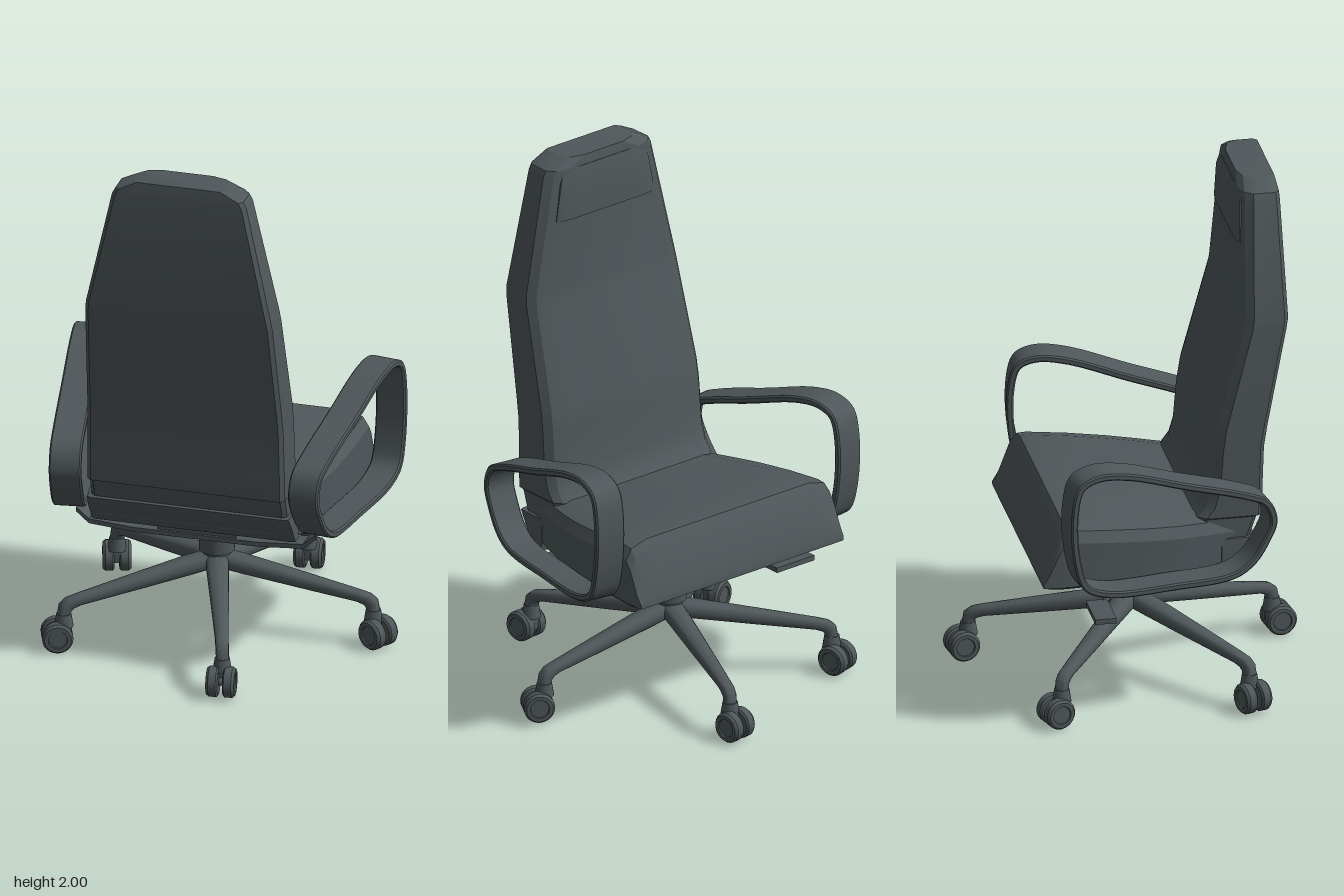
import * as THREE from 'three';
import { toCreasedNormals } from 'three/addons/utils/BufferGeometryUtils.js';

const grey = new THREE.MeshStandardMaterial({ color: 0x4f575a });
grey.name = 'charcoal grey';

function add(parent, name, geometry, x = 0, y = 0, z = 0) {
  const mesh = new THREE.Mesh(geometry, grey);
  mesh.name = name;
  mesh.position.set(x, y, z);
  parent.add(mesh);
  return mesh;
}

// Skin a list of equal-sized rings of [x, y, z] points and cap both ends.
function loft(rings, crease = 0.5) {
  const n = rings[0].length, tris = [];
  const P = (r, i) => rings[r][i % n];
  for (let r = 0; r < rings.length - 1; r++)
    for (let i = 0; i < n; i++) {
      tris.push([P(r, i), P(r, i + 1), P(r + 1, i + 1)], [P(r, i), P(r + 1, i + 1), P(r + 1, i)]);
    }
  const last = rings.length - 1;
  for (let i = 1; i < n - 1; i++)
    tris.push([P(0, 0), P(0, i + 1), P(0, i)], [P(last, 0), P(last, i), P(last, i + 1)]);
  // Turn the faces outwards, whichever way the rings run
  let volume = 0;
  for (const [a, b, c] of tris)
    volume += a[0] * (b[1] * c[2] - b[2] * c[1]) + a[1] * (b[2] * c[0] - b[0] * c[2]) + a[2] * (b[0] * c[1] - b[1] * c[0]);
  if (volume < 0) tris.forEach(t => t.reverse());
  const g = new THREE.BufferGeometry();
  g.setAttribute('position', new THREE.Float32BufferAttribute(tris.flat(2), 3));
  return toCreasedNormals(g, crease);
}

// Half outline mirrored across x
const mirrored = half => [...half, ...half.slice().reverse().map(([x, y, z]) => [-x, y, z])];

// Upright cushion: rows of [y, front z, back z, half width], softened front edges
const upright = (rows, soft = 1) => loft(rows.map(([y, f, b, w]) => mirrored([
  [w - 0.015, y, b], [w, y, b - 0.015 * soft], [w, y, f + 0.045 * soft],
  [w - 0.025, y, f + 0.016 * soft], [w - 0.08, y, f],
])));

// Seat cushion: rows of [z, bottom y, top y, half width], softened top edges
const cushion = rows => loft(rows.map(([z, b, t, w]) => {
  const s = Math.min(1, (t - b) / 0.15);
  return mirrored([[w - 0.01, b, z], [w, b + 0.01 * s, z], [w, t - 0.06 * s, z],
    [w - 0.025, t - 0.02 * s, z], [w - 0.1, t, z]]);
}));

// Closed band armrest, drawn in side profile and extruded across its width
function armGeometry() {
  const path = new THREE.CatmullRomCurve3([
    [0.45, 0.76], [0.42, 0.845], [0.33, 0.89], [0.1, 0.962], [-0.13, 1.035], [-0.25, 1.045], [-0.325, 1.01],
    [-0.355, 0.9], [-0.345, 0.7], [-0.305, 0.59], [-0.21, 0.547], [0.05, 0.54], [0.28, 0.55], [0.36, 0.595], [0.42, 0.68],
  ].map(([z, y]) => new THREE.Vector3(z, y, 0)), true);
  const outer = [], inner = [];
  for (let i = 0; i < 72; i++) {
    const p = path.getPoint(i / 72), t = path.getTangent(i / 72);
    outer.push(new THREE.Vector2(p.x, p.y));
    inner.push(new THREE.Vector2(p.x - t.y * 0.027, p.y + t.x * 0.027));
  }
  const shape = new THREE.Shape(outer);
  shape.holes.push(new THREE.Path(inner));
  const g = new THREE.ExtrudeGeometry(shape, {
    depth: 0.108, bevelThickness: 0.006, bevelSize: 0.006, bevelOffset: -0.006, bevelSegments: 1,
  });
  g.translate(-0.045, 0, -0.054).rotateY(-Math.PI / 2);
  return toCreasedNormals(g, 0.6);
}

// Flat bar following [x, y] points, extruded along z
function bar(points, thick, depth) {
  const s = new THREE.Shape([...points, ...points.slice().reverse().map(([x, y]) => [x, y + thick])]
    .map(([x, y]) => new THREE.Vector2(x, y)));
  return new THREE.ExtrudeGeometry(s, { depth, bevelEnabled: false }).translate(0, 0, -depth / 2);
}

// Twin-wheel caster; local +x is its rolling direction
function caster() {
  const g = new THREE.Group();
  g.name = 'caster';
  for (const side of [-1, 1]) {
    const profile = [[0, -0.022], [0.05, -0.022], [0.058, -0.016], [0.058, 0.012], [0.05, 0.022], [0.036, 0.022], [0.034, 0.017], [0, 0.017]];
    const wheel = new THREE.LatheGeometry(profile.map(p => new THREE.Vector2(...p)), 24);
    add(g, 'wheel', toCreasedNormals(wheel.rotateX(side * Math.PI / 2), 0.5), 0.025, 0.06, side * 0.031);
  }
  add(g, 'axle', new THREE.CylinderGeometry(0.015, 0.015, 0.04, 12).rotateX(Math.PI / 2), 0.025, 0.06, 0);
  add(g, 'casterBody', new THREE.BoxGeometry(0.05, 0.07, 0.03), 0, 0.085, 0);
  add(g, 'casterCollar', new THREE.CylinderGeometry(0.028, 0.036, 0.05, 16), 0, 0.12, 0);
  return g;
}

export function createModel() {
  const model = new THREE.Group();
  model.name = 'officeChair';
  const chair = new THREE.Group();
  chair.name = 'chair';
  chair.position.x = -0.035;
  model.add(chair);

  // Upholstery
  add(chair, 'backrest', upright([
    [0.56, 0.17, 0.32, 0.375], [0.64, 0.17, 0.375, 0.375], [0.725, 0.17, 0.405, 0.374], [0.73, 0.17, 0.422, 0.378],
    [0.77, 0.2, 0.425, 0.378], [0.84, 0.22, 0.426, 0.377], [1.0, 0.233, 0.432, 0.375], [1.08, 0.245, 0.445, 0.373],
    [1.46, 0.345, 0.52, 0.359], [1.5, 0.352, 0.527, 0.354], [1.94, 0.37, 0.515, 0.258], [1.965, 0.37, 0.514, 0.245], [2.0, 0.378, 0.51, 0.175],
  ]));
  add(chair, 'headPad', upright([
    [1.77, 0.353, 0.39, 0.235], [1.91, 0.356, 0.39, 0.21], [1.965, 0.368, 0.39, 0.19],
  ], 0.3));
  add(chair, 'lowerBackPanel', upright([
    [0.525, 0.25, 0.315, 0.39], [0.6, 0.25, 0.365, 0.39], [0.648, 0.25, 0.396, 0.386],
  ], 0.4));
  add(chair, 'seat', cushion([
    [0.34, 0.56, 0.73, 0.37], [0.22, 0.54, 0.735, 0.4], [0.1, 0.54, 0.745, 0.435], [0, 0.54, 0.755, 0.457],
    [-0.15, 0.54, 0.77, 0.477], [-0.3, 0.54, 0.783, 0.487], [-0.335, 0.54, 0.78, 0.488], [-0.36, 0.54, 0.745, 0.488],
    [-0.4, 0.545, 0.63, 0.488], [-0.42, 0.55, 0.575, 0.486],
  ]));

  // Armrests
  const arm = armGeometry();
  for (const side of [-1, 1])
    add(chair, side > 0 ? 'leftArmrest' : 'rightArmrest', arm, side * 0.515, 0, 0.045).rotation.y = -side * 0.148;

  // Mechanism under the seat
  add(chair, 'armBracket', bar([[-0.46, 0.53], [-0.41, 0.487], [-0.24, 0.474], [0.24, 0.474], [0.41, 0.487], [0.46, 0.53]], 0.018, 0.08), 0, 0, 0.24);
  add(chair, 'bracketMount', new THREE.BoxGeometry(0.3, 0.06, 0.06), 0, 0.515, 0.24);
  add(chair, 'seatPlate', new THREE.BoxGeometry(0.4, 0.012, 0.4), 0, 0.536, 0.03);
  add(chair, 'flange', new THREE.CylinderGeometry(0.085, 0.075, 0.03, 32), 0, 0.518, 0);
  const rod = new THREE.LineCurve3(new THREE.Vector3(-0.1, 0.515, -0.04), new THREE.Vector3(-0.34, 0.413, -0.16));
  add(chair, 'leverRod', new THREE.TubeGeometry(rod, 1, 0.012, 10));
  add(chair, 'leverHandle', new THREE.BoxGeometry(0.18, 0.02, 0.08), -0.415, 0.408, -0.19);

  // Column
  add(chair, 'column', toCreasedNormals(new THREE.LatheGeometry(
    [[0, 0.24], [0.05, 0.25], [0.055, 0.31], [0.066, 0.315], [0.068, 0.38], [0.06, 0.39], [0.037, 0.39], [0.037, 0.4], [0.034, 0.5], [0.05, 0.505], [0.05, 0.52], [0, 0.52]]
      .map(p => new THREE.Vector2(...p)), 32), 0.5));

  // Five-star base: arm stations of [top r, top y, bottom r, bottom y, half width]
  const legGeometry = loft([
    [0, 0.312, 0, 0.25, 0.045], [0.1, 0.3, 0.1, 0.234, 0.042], [0.3, 0.262, 0.3, 0.205, 0.034], [0.54, 0.215, 0.54, 0.172, 0.025],
    [0.59, 0.203, 0.565, 0.163, 0.025], [0.616, 0.182, 0.574, 0.152, 0.024], [0.624, 0.14, 0.576, 0.135, 0.024],
  ].map(([tr, ty, br, by, w]) => Array.from({ length: 12 }, (_, i) => {
    const a = i / 12 * Math.PI * 2, k = (1 + Math.cos(a)) / 2;
    const squash = Math.sign(Math.sin(a)) * Math.sqrt(Math.abs(Math.sin(a)));
    return [br + (tr - br) * k, by + (ty - by) * k, w * squash];
  })), 0.9);
  const swivel = [30, 82, 160, 253, 263];
  swivel.forEach((heading, i) => {
    const a = i * Math.PI * 2 / 5;
    add(chair, 'baseLeg', legGeometry).rotation.y = -a;
    const c = caster();
    c.position.set(Math.cos(a) * 0.6, 0, Math.sin(a) * 0.6);
    c.rotation.y = -THREE.MathUtils.degToRad(heading);
    chair.add(c);
  });
  return model;
}
